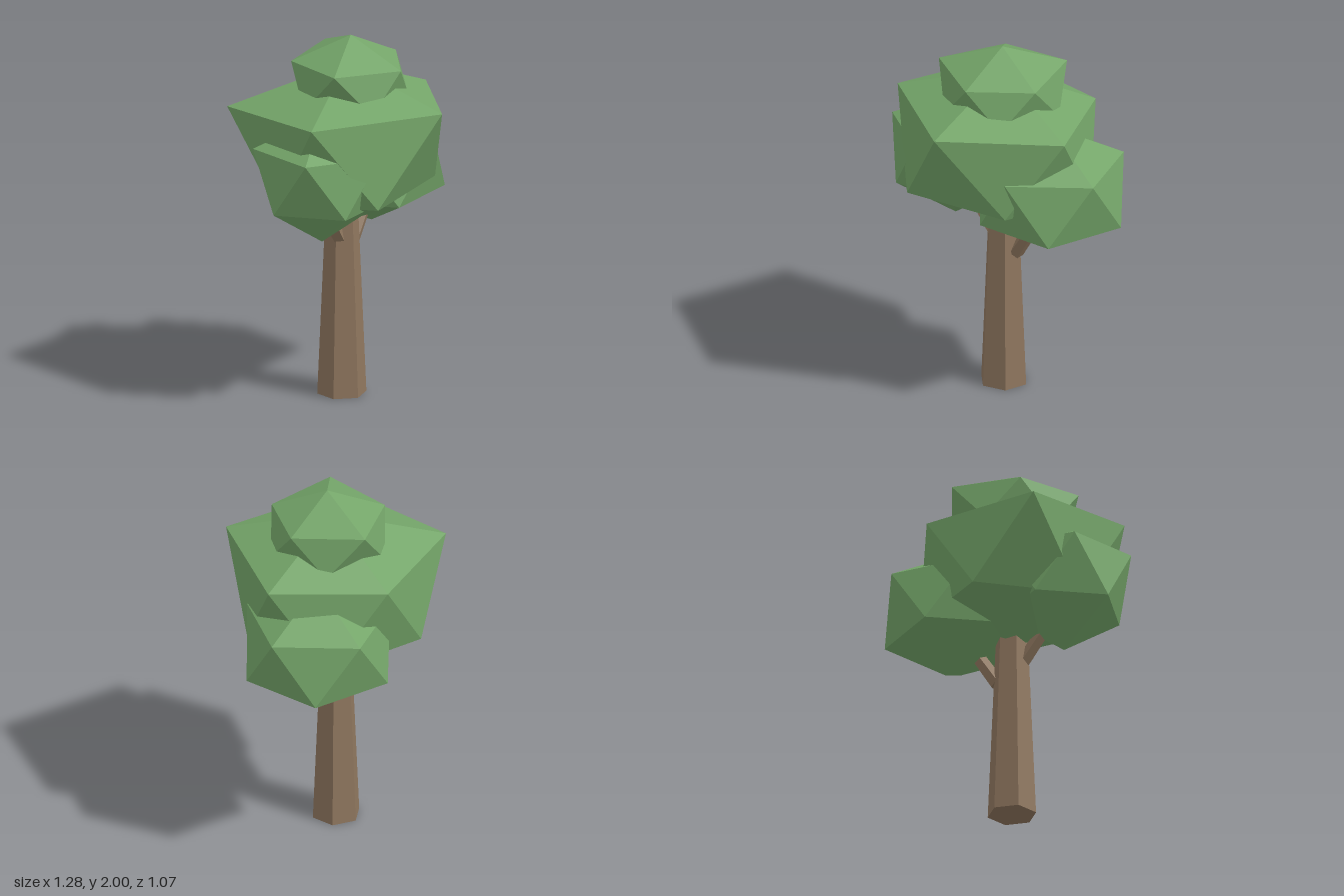
import * as THREE from 'three';

const leaf = new THREE.MeshStandardMaterial({ color: 0x74a569 });
leaf.name = 'leafGreen';
const bark = new THREE.MeshStandardMaterial({ color: 0x8e765e });
bark.name = 'barkBrown';
leaf.flatShading = bark.flatShading = true;

// Five points around a centre, starting at a given angle
function ring(cx, y, cz, r, startDeg) {
  return Array.from({ length: 5 }, (_, i) => {
    const a = THREE.MathUtils.degToRad(startDeg + 72 * i);
    return [cx + r * Math.cos(a), y, cz + r * Math.sin(a)];
  });
}

// Twenty-sided leaf clump: apex, upper ring, lower ring, bottom point
function clump(name, apex, upper, lower, bottom) {
  const pos = [];
  const tri = (...pts) => pts.forEach((p) => pos.push(...p));
  for (let i = 0; i < 5; i++) {
    const j = (i + 1) % 5;
    tri(apex, upper[j], upper[i]);
    tri(upper[i], upper[j], lower[i]);
    tri(lower[i], upper[j], lower[j]);
    tri(bottom, lower[i], lower[j]);
  }
  const geo = new THREE.BufferGeometry();
  geo.setAttribute('position', new THREE.Float32BufferAttribute(pos, 3));
  geo.computeVertexNormals();
  const mesh = new THREE.Mesh(geo, leaf);
  mesh.name = name;
  return mesh;
}

// Tapered limb between two points
function limb(name, from, to, r0, r1, sides) {
  const a = new THREE.Vector3(...from);
  const b = new THREE.Vector3(...to);
  const dir = b.clone().sub(a);
  const mesh = new THREE.Mesh(new THREE.CylinderGeometry(r1, r0, dir.length(), sides), bark);
  mesh.position.copy(a).add(b).multiplyScalar(0.5);
  mesh.quaternion.setFromUnitVectors(new THREE.Vector3(0, 1, 0), dir.normalize());
  mesh.name = name;
  return mesh;
}

export function createModel() {
  const tree = new THREE.Group();
  tree.name = 'tree';

  // Trunk and its two branches
  tree.add(
    limb('trunk', [-0.055, 0, -0.052], [-0.055, 1.15, -0.052], 0.133, 0.083, 6),
    limb('leftBranch', [0.02, 0.78, -0.08], [0.24, 1.12, -0.13], 0.042, 0.034, 5),
    limb('rightBranch', [-0.08, 0.85, -0.03], [-0.28, 1.14, 0.05], 0.042, 0.034, 5),
  );

  // Large irregular crown
  tree.add(clump('mainCrown',
    [-0.04, 1.85, -0.03],
    [[0.53, 1.625, -0.05], [0.15, 1.655, 0.53], [-0.56, 1.645, 0.29], [-0.56, 1.62, -0.4], [0.11, 1.605, -0.53]],
    [[0.365, 1.19, 0.22], [-0.23, 1.175, 0.45], [-0.53, 1.16, -0.02], [-0.21, 1.17, -0.505], [0.36, 1.17, -0.33]],
    [-0.05, 0.96, -0.03]));

  // Small crown on top
  tree.add(clump('topCrown',
    [-0.02, 2, -0.02],
    [[0.295, 1.85, -0.02], [0.075, 1.85, 0.28], [-0.315, 1.87, 0.19], [-0.275, 1.86, -0.21], [0.09, 1.87, -0.36]],
    ring(-0.025, 1.64, -0.024, 0.32, 36),
    [-0.02, 1.5, -0.02]));

  // Side clumps
  tree.add(clump('leftClump',
    [0.24, 1.59, -0.16],
    ring(0.24, 1.39, -0.16, 0.4, 0),
    ring(0.24, 1.06, -0.16, 0.395, 36),
    [0.235, 0.88, -0.15]));
  tree.add(clump('rightClump',
    [-0.31, 1.63, 0.08],
    ring(-0.31, 1.457, 0.08, 0.365, 0),
    ring(-0.31, 1.145, 0.08, 0.335, 36),
    [-0.31, 0.93, 0.085]));

  return tree;
}
